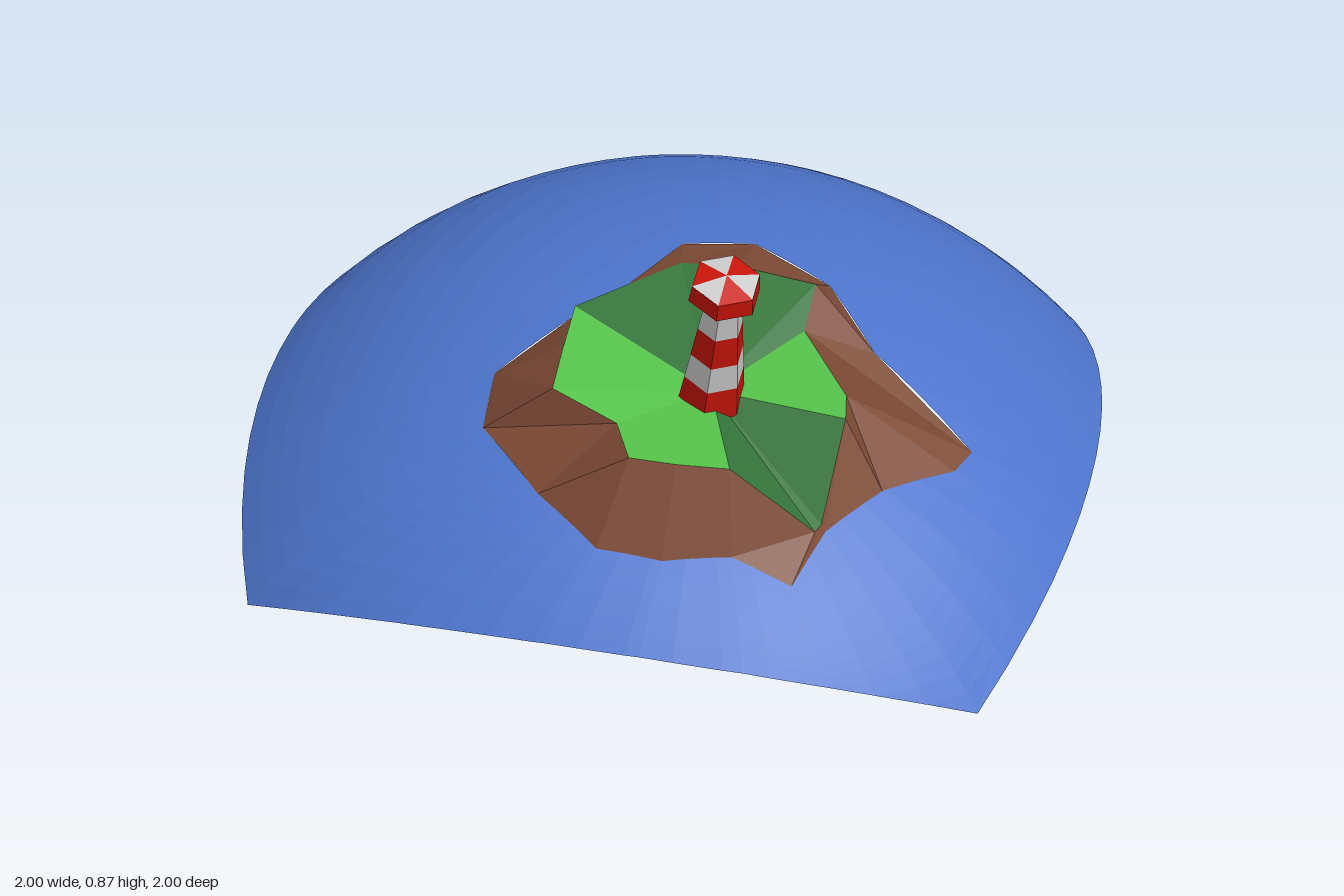
import * as THREE from 'three';

const RADIUS = Math.SQRT2, CENTRE_Y = -Math.sqrt(2 / 3);
const MID = [0.17, 0.49]; // middle of the island, x and z

const paint = (color) => new THREE.MeshStandardMaterial({ color, flatShading: true, side: THREE.DoubleSide });
const blue = paint(0x4d74cc), brown = paint(0x7d4a35), lightGreen = paint(0x55c24a);
const darkGreen = paint(0x35753a), red = paint(0xc8140a), grey = paint(0xcccccc);

// Shoreline x, z and the grass edge x, y, z above it, clockwise from the back
const COAST = [
  [0.01, 0.05, 0.03, 0.615, 0.16],
  [0.17, 0.0, 0.16, 0.625, 0.16],
  [0.36, 0.08, 0.34, 0.6, 0.16],
  [0.49, 0.24, 0.335, 0.545, 0.27],
  [0.73, 0.36, 0.46, 0.52, 0.46],
  [0.7, 0.43, 0.46, 0.52, 0.46],
  [0.56, 0.56, 0.47, 0.51, 0.53],
  [0.46, 0.69, 0.45, 0.345, 0.69],
  [0.41, 0.81, 0.44, 0.34, 0.71],
  [0.28, 0.8, 0.26, 0.49, 0.73],
  [0.14, 0.84, 0.15, 0.495, 0.745],
  [0.0, 0.84, 0.05, 0.5, 0.75],
  [-0.15, 0.75, 0.0, 0.51, 0.65],
  [-0.31, 0.61, -0.15, 0.55, 0.61],
  [-0.32, 0.48, -0.16, 0.57, 0.48],
  [-0.18, 0.33, -0.17, 0.585, 0.34],
  [-0.07, 0.22, -0.07, 0.6, 0.25],
];
const DARK_GRASS = [0, 1, 2, 6, 7, 8, 15, 16];

// Point of the sea sphere above x, z
const onSea = (x, z) => [x, Math.sqrt(RADIUS * RADIUS - x * x - z * z) + CENTRE_Y, z];

function meshFrom(name, triangles, material) {
  const geometry = new THREE.BufferGeometry();
  geometry.setAttribute('position', new THREE.Float32BufferAttribute(triangles.flat(2), 3));
  geometry.computeVertexNormals();
  const mesh = new THREE.Mesh(geometry, material);
  mesh.name = name;
  return mesh;
}

// Distance from the island middle to a polygon along an angle
function reach(polygon, angle) {
  const dx = Math.cos(angle), dz = Math.sin(angle);
  let best = 0;
  polygon.forEach(([ax, az], i) => {
    const [bx, bz] = polygon[(i + 1) % polygon.length];
    const ex = bx - ax, ez = bz - az, px = ax - MID[0], pz = az - MID[1];
    const det = dx * ez - dz * ex;
    if (Math.abs(det) < 1e-9) return;
    const t = (px * ez - pz * ex) / det, s = (px * dz - pz * dx) / det;
    if (t > 0 && s > -1e-6 && s < 1 + 1e-6) best = Math.max(best, t);
  });
  return best;
}

// One face of a cube blown up to a sphere, open under the island
function createSea() {
  const edge = [], perSide = 16, rings = 12;
  for (let side = 0; side < 4; side++) {
    for (let i = 0; i < perSide; i++) {
      const p = new THREE.Vector3(1, 1, Math.tan((i / perSide - 0.5) * Math.PI / 2)).setLength(RADIUS);
      const c = Math.round(Math.cos(side * Math.PI / 2)), s = Math.round(Math.sin(side * Math.PI / 2));
      edge.push([p.x * c - p.z * s, p.x * s + p.z * c]);
    }
  }
  const shore = COAST.map(([x, z]) => [x, z]);
  const angles = [...edge, ...shore]
    .map(([x, z]) => Math.atan2(z - MID[1], x - MID[0]))
    .sort((a, b) => a - b);
  const rays = angles.map((angle) => {
    const near = reach(shore, angle), far = reach(edge, angle), ray = [];
    for (let k = 0; k <= rings; k++) {
      const r = near + (far - near) * k / rings;
      ray.push(onSea(MID[0] + r * Math.cos(angle), MID[1] + r * Math.sin(angle)));
    }
    return ray;
  });
  const triangles = [];
  rays.forEach((a, i) => {
    const b = rays[(i + 1) % rays.length];
    for (let k = 0; k < rings; k++) {
      triangles.push([a[k], b[k], b[k + 1]], [a[k], b[k + 1], a[k + 1]]);
    }
  });
  return meshFrom('sea', triangles, blue);
}

// Brown banks rising from the shore and a fan of grass inside them
function createIsland() {
  const island = new THREE.Group();
  island.name = 'island';
  const middle = [MID[0], 0.51, MID[1]];
  const banks = [], light = [], dark = [];
  COAST.forEach((row, i) => {
    const next = COAST[(i + 1) % COAST.length];
    const a = onSea(row[0], row[1]), b = onSea(next[0], next[1]);
    const grassA = row.slice(2), grassB = next.slice(2);
    banks.push([a, grassA, b]);
    if (grassA.some((v, k) => v !== grassB[k])) {
      banks.push([b, grassA, grassB]);
      (DARK_GRASS.includes(i) ? dark : light).push([middle, grassB, grassA]);
    }
  });
  island.add(meshFrom('banks', banks, brown), meshFrom('lightGrass', light, lightGreen), meshFrom('darkGrass', dark, darkGreen));
  return island;
}

// Six-sided striped tower leaning outwards from the sea
function createLighthouse() {
  const tower = new THREE.Group();
  tower.name = 'lighthouse';
  const foot = new THREE.Vector3(0.17, 0.5, 0.49), tip = new THREE.Vector3(0.22, 0.868, 0.582);
  tower.position.copy(foot);
  tower.quaternion.setFromUnitVectors(new THREE.Vector3(0, 1, 0), tip.sub(foot).normalize());

  const section = (name, from, to, r0, r1, material) => {
    const mesh = new THREE.Mesh(new THREE.CylinderGeometry(r1, r0, to - from, 6), material);
    mesh.position.y = (from + to) / 2;
    mesh.name = name;
    tower.add(mesh);
  };
  const levels = [-0.02, 0.08, 0.15, 0.23, 0.305];
  const radius = (s) => 0.076 - 0.115 * s;
  for (let i = 0; i < 4; i++) {
    section(i % 2 ? 'whiteBand' : 'redBand', levels[i], levels[i + 1], radius(levels[i]), radius(levels[i + 1]), i % 2 ? grey : red);
  }
  section('gallery', 0.305, 0.325, 0.045, 0.073, red);
  section('capRim', 0.325, 0.365, 0.078, 0.073, red);

  // Roof wedges in alternating colours
  for (let i = 0; i < 6; i++) {
    const corner = (k) => [0.073 * Math.sin(k * Math.PI / 3), 0.367, 0.073 * Math.cos(k * Math.PI / 3)];
    tower.add(meshFrom('roofWedge', [[[0, 0.382, 0], corner(i), corner(i + 1)]], i % 2 ? grey : red));
  }
  return tower;
}

export function createModel() {
  const model = new THREE.Group();
  model.name = 'lighthouseIsland';
  model.add(createSea(), createIsland(), createLighthouse());
  return model;
}
